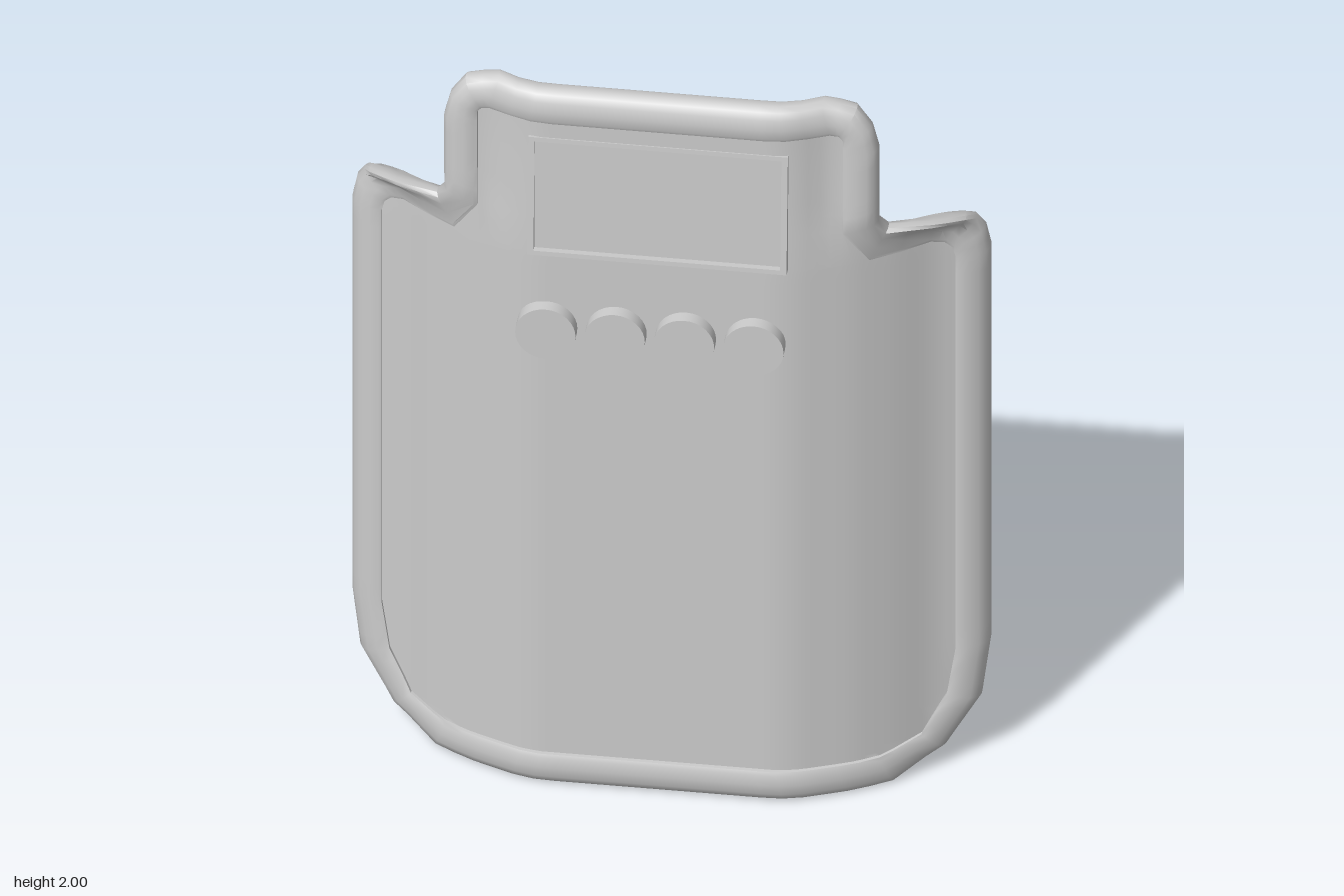
import * as THREE from 'three';
import { toCreasedNormals } from 'three/addons/utils/BufferGeometryUtils.js';

// Matching right-half outlines, top centre to bottom centre: outer edge and inner edge of the rim
const OUTER = [[0, 2], [0.38, 2], [0.46, 1.98], [0.495, 1.93], [0.51, 1.87], [0.51, 1.66], [0.53, 1.625], [0.63, 1.625],
  [0.7, 1.6], [0.738, 1.54], [0.75, 1.48], [0.75, 0.35], [0.73, 0.19], [0.65, 0.06], [0.54, 0], [0, 0]];
const INNER = [[0, 1.915], [0.4, 1.915], [0.42, 1.912], [0.43, 1.9], [0.43, 1.85], [0.43, 1.63], [0.488, 1.537], [0.62, 1.537],
  [0.65, 1.528], [0.667, 1.51], [0.675, 1.48], [0.675, 0.35], [0.655, 0.22], [0.6, 0.12], [0.51, 0.09], [0, 0.09]];

// Back surface bend across the width, for the body and for the neck
const BODY_BEND = [[0, 0.07], [0.28, 0.07], [0.33, 0.06], [0.42, 0.025], [0.46, 0.008], [0.54, -0.04], [0.62, -0.1], [0.66, -0.12], [0.75, -0.152]];
const NECK_BEND = [[0, 0.07], [0.28, 0.07], [0.33, 0.058], [0.39, 0.028], [0.42, 0.025], [0.75, 0.025]];

function interpolate(table, x) {
  const i = Math.max(1, table.findIndex(p => p[0] >= x));
  const [a, b] = [table[i - 1], table[i]];
  return a[1] + (b[1] - a[1]) * (x - a[0]) / (b[0] - a[0]);
}

function backZ(x, y) {
  const ax = Math.min(Math.abs(x), 0.75);
  const k = THREE.MathUtils.smoothstep(y, 1.56, 1.67);
  return THREE.MathUtils.lerp(interpolate(BODY_BEND, ax), interpolate(NECK_BEND, ax), k);
}

const fieldHeight = y => 0.05 - 0.008 * THREE.MathUtils.smoothstep(y, 1.5, 1.9);

// Right-half outline between the outer (s = 0) and inner (s = 1) edges, finely divided
function outline(s) {
  const points = [];
  const mix = i => OUTER[i].map((v, k) => v + (INNER[i][k] - v) * s);
  for (let i = 0; i < OUTER.length - 1; i++) {
    const a = mix(i), b = mix(i + 1);
    const n = Math.ceil(Math.hypot(OUTER[i + 1][0] - OUTER[i][0], OUTER[i + 1][1] - OUTER[i][1]) / 0.05);
    for (let j = 0; j < n; j++) points.push([a[0] + (b[0] - a[0]) * j / n, a[1] + (b[1] - a[1]) * j / n]);
  }
  points.push(mix(OUTER.length - 1));
  return points;
}

function plateGeometry() {
  const positions = [];
  const triangle = (a, b, c) => {
    const area = b.clone().sub(a).cross(c.clone().sub(a)).length();
    if (area > 1e-7) for (const p of [a, b, c]) positions.push(p.x, p.y, p.z);
  };
  const quad = (a, b, c, d) => { triangle(a, b, c); triangle(a, c, d); };
  const lift = (x, y, h) => new THREE.Vector3(x, y, backZ(x, y) + h);

  // Rim swept round the outline: [inset, height above the back surface]
  const section = [[0.35, 0], [0.1, 0.004], [0, 0.018], [0, 0.036], [0.1, 0.052], [0.3, 0.062], [0.6, 0.066], [0.9, 0.064], [1, 0.06], [1, null]];
  const rings = section.map(([s, h]) => {
    const half = outline(s);
    const mirrored = half.slice(1, -1).reverse().map(([x, y]) => [-x, y]);
    return [...half, ...mirrored].map(([x, y]) => lift(x, y, h ?? fieldHeight(y)));
  });
  for (let k = 0; k < rings.length - 1; k++) {
    const n = rings[k].length;
    for (let i = 0; i < n; i++) {
      const j = (i + 1) % n;
      quad(rings[k][i], rings[k + 1][i], rings[k + 1][j], rings[k][j]);
    }
  }

  // Back and front faces: rows at the outline points, columns clamped to the outline
  const columns = [];
  for (let i = -30; i <= 30; i++) columns.push(i * 0.025);
  const face = (s, height, front) => {
    const rows = outline(s).map(([w, y]) =>
      columns.map(c => { const x = THREE.MathUtils.clamp(c, -w, w); return lift(x, y, height(y)); }));
    for (let r = 0; r < rows.length - 1; r++) {
      for (let j = 0; j < columns.length - 1; j++) {
        const [a, b, c, d] = [rows[r][j], rows[r][j + 1], rows[r + 1][j + 1], rows[r + 1][j]];
        if (front) quad(a, d, c, b); else quad(a, b, c, d);
      }
    }
  };
  face(0.35, () => 0, false);
  face(1, fieldHeight, true);

  const geometry = new THREE.BufferGeometry();
  geometry.setAttribute('position', new THREE.Float32BufferAttribute(positions, 3));
  return toCreasedNormals(geometry, 0.7);
}

function rectangle(path, w, h) {
  path.moveTo(-w, -h);
  path.lineTo(w, -h);
  path.lineTo(w, h);
  path.lineTo(-w, h);
  path.closePath();
  return path;
}

export function createModel() {
  const group = new THREE.Group();
  const material = new THREE.MeshStandardMaterial({ color: 0xcccccc });
  const add = (name, geometry, x, y, z) => {
    const mesh = new THREE.Mesh(geometry, material);
    mesh.name = name;
    mesh.position.set(x, y, z);
    group.add(mesh);
    return mesh;
  };

  // Bent plate with raised rim
  add('plate', plateGeometry(), 0, 0, 0);

  // Thin window frame, leaning back at the top, around a sunken panel
  const frame = rectangle(new THREE.Shape(), 0.305, 0.162);
  frame.holes.push(rectangle(new THREE.Path(), 0.29, 0.15));
  const frameGeometry = new THREE.ExtrudeGeometry(frame, { depth: 0.035, bevelEnabled: false });
  add('windowFrame', frameGeometry, 0, 1.698, 0.0925).rotation.x = -0.075;
  add('windowPanel', new THREE.BoxGeometry(0.584, 0.302, 0.02), 0, 1.698, 0.108).rotation.x = -0.03;

  // Row of round buttons
  for (let i = 0; i < 4; i++) {
    const button = new THREE.CylinderGeometry(0.071, 0.071, 0.05, 32).rotateX(Math.PI / 2);
    add('button' + (i + 1), button, -0.26 + i * 0.163, 1.323, 0.128);
  }
  return group;
}
